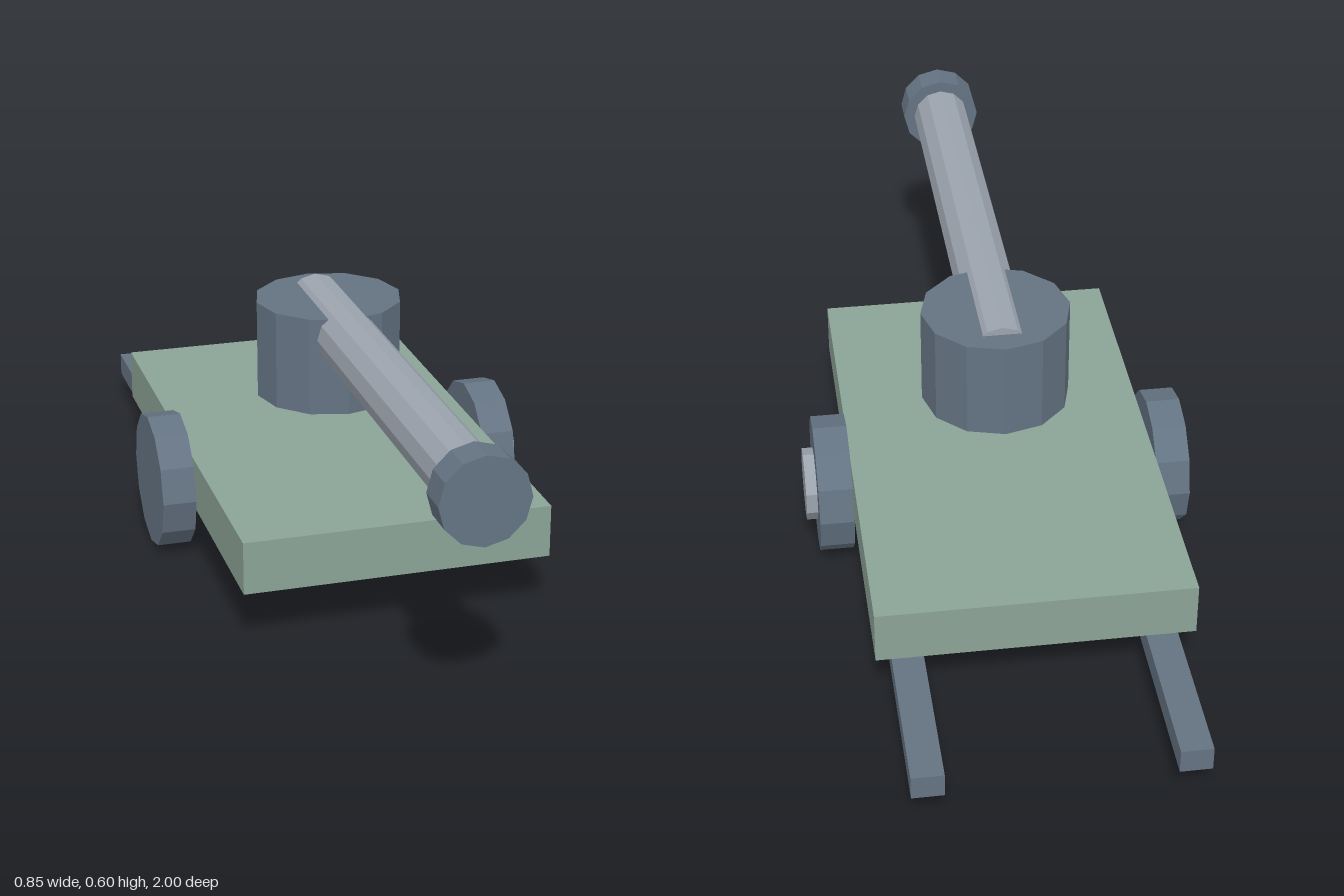
import * as THREE from 'three';

const mat = (name, color) => {
  const m = new THREE.MeshStandardMaterial({ color, flatShading: true });
  m.name = name;
  return m;
};

export function createModel() {
  const model = new THREE.Group();
  model.name = 'fieldGun';
  const green = mat('sage green', 0x8ba396);
  const slate = mat('slate grey', 0x647382);
  const steel = mat('light steel', 0x9ca4ae);

  const add = (name, geometry, material, x, y, z) => {
    const mesh = new THREE.Mesh(geometry, material);
    mesh.name = name;
    mesh.position.set(x, y, z);
    model.add(mesh);
  };
  // faceted cylinder starting with a corner on the x axis
  const drum = (r, length, sides) =>
    new THREE.CylinderGeometry(r, r, length, sides, 1, false, Math.PI / 2);

  // flat carriage
  add('deck', new THREE.BoxGeometry(0.668, 0.116, 1.155), green, -0.014, 0.183, -0.088);

  // turret drum floats above the deck
  const cx = -0.0135, gunY = 0.512;
  add('turret', drum(0.164, 0.22, 12), slate, cx, 0.45, -0.053);

  // gun, pointing forward
  add('barrel', drum(0.066, 1.1, 12).rotateX(Math.PI / 2), steel, cx, gunY, 0.39);
  add('muzzle', drum(0.092, 0.07, 12).rotateX(Math.PI / 2), slate, cx, gunY, 0.965);

  // wheels, hubs and trailing rails; both hubs stand out towards +x
  for (const [side, s] of [['left', 1], ['right', -1]]) {
    const wx = cx + s * 0.3735;
    add(side + 'Wheel', drum(0.151, 0.075, 12).rotateZ(Math.PI / 2), slate, wx, 0.151, -0.086);
    add(side + 'Hub', drum(0.08, 0.05, 10).rotateZ(Math.PI / 2), steel, wx + 0.037, 0.152, -0.086);
    add(side + 'Rail', new THREE.BoxGeometry(0.067, 0.053, 0.85), slate, cx + s * 0.266, 0.086, -0.575);
  }
  return model;
}
